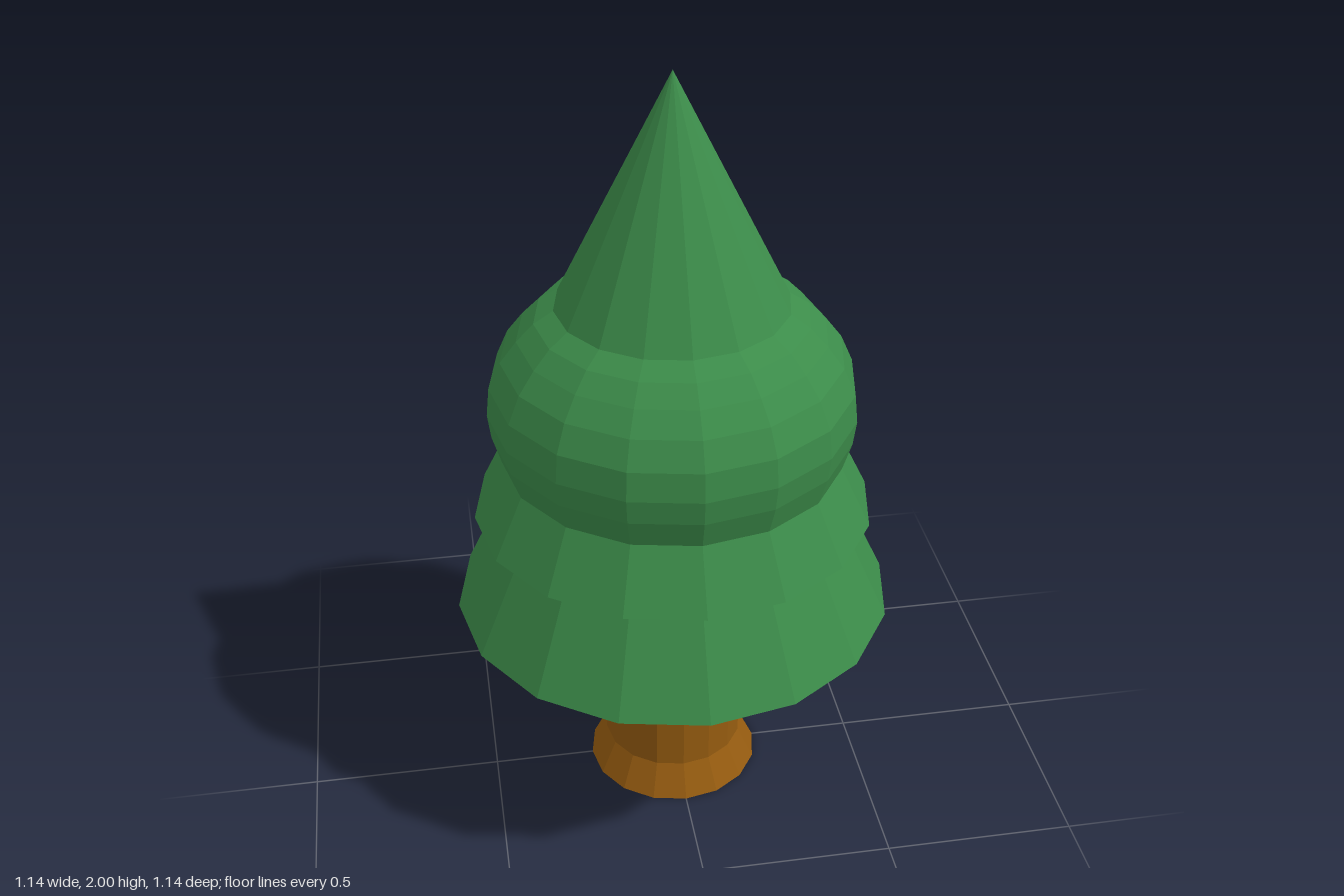
import * as THREE from 'three';

const SIDES = 16;

// Faceted solid of revolution from [radius, height] pairs, listed bottom to top
function turned(name, profile, material) {
  const points = profile.map(([r, y]) => new THREE.Vector2(r, y));
  const mesh = new THREE.Mesh(new THREE.LatheGeometry(points, SIDES), material);
  mesh.name = name;
  return mesh;
}

export function createModel() {
  const bark = new THREE.MeshStandardMaterial({ color: 0x965c10, flatShading: true });
  const leaf = new THREE.MeshStandardMaterial({ color: 0x3c8c4a, flatShading: true });

  const tree = new THREE.Group();
  tree.name = 'tree';

  // Trunk with a flared foot
  tree.add(turned('trunk', [[0, 0], [0.23, 0], [0.187, 0.09], [0.187, 0.567]], bark));

  // Two skirts with flat undersides
  tree.add(turned('lowerSkirt', [[0, 0.565], [0.57, 0.565], [0.44, 0.84]], leaf));
  tree.add(turned('upperSkirt', [[0.44, 0.84], [0.512, 0.84], [0.434, 1.0]], leaf));

  // Rounded crown
  tree.add(turned('roundCrown', [
    [0.434, 1.0], [0.456, 1.075], [0.464, 1.14], [0.456, 1.215],
    [0.425, 1.285], [0.383, 1.34], [0.339, 1.385], [0.29, 1.417],
  ], leaf));

  // Pointed top
  tree.add(turned('tip', [[0.29, 1.417], [0, 2]], leaf));

  return tree;
}
